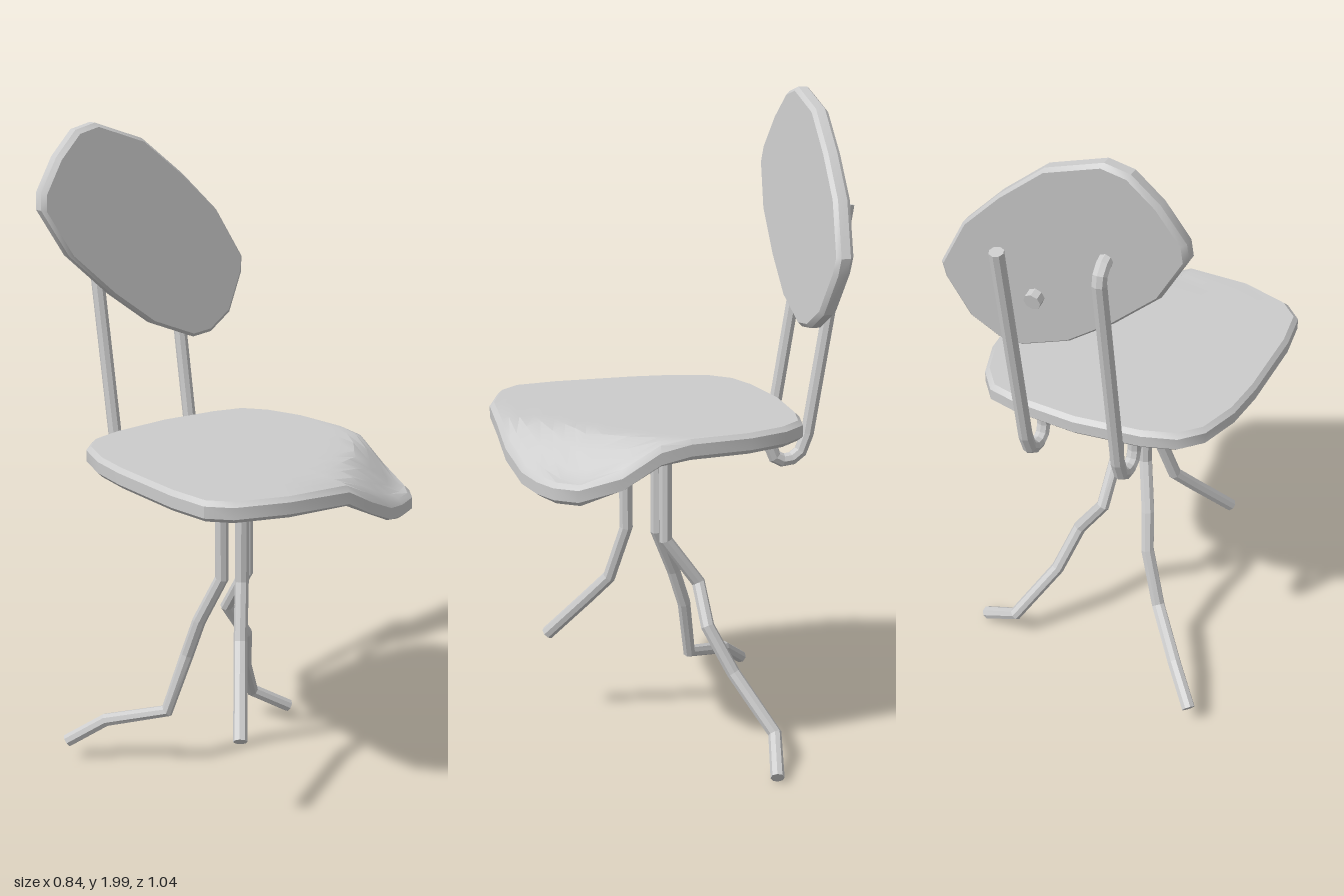
import * as THREE from 'three';
import { toCreasedNormals } from 'three/addons/utils/BufferGeometryUtils.js';

const material = new THREE.MeshStandardMaterial({ color: 0xcccccc });
const facetedMaterial = new THREE.MeshStandardMaterial({ color: 0xcccccc, flatShading: true });

// Straight segments between points, with mitred corners
class Polyline extends THREE.Curve {
  constructor(points) {
    super();
    this.points = points.map(p => new THREE.Vector3(...p));
  }
  getPoint(t) {
    const n = this.points.length - 1;
    const i = Math.min(Math.floor(t * n + 1e-6), n - 1);
    return this.points[i].clone().lerp(this.points[i + 1], t * n - i);
  }
  getPointAt(t) { return this.getPoint(t); }
  getTangentAt(t) {
    const p = this.points, i = Math.round(t * (p.length - 1));
    const dir = new THREE.Vector3();
    if (i > 0) dir.add(p[i].clone().sub(p[i - 1]).normalize());
    if (i < p.length - 1) dir.add(p[i + 1].clone().sub(p[i]).normalize());
    return dir.normalize();
  }
}

// Closed eight-sided rod
function rod(name, points, radius = 0.021) {
  const sides = 8, segments = points.length - 1;
  const geometry = new THREE.TubeGeometry(new Polyline(points), segments, radius, sides, false);
  const index = Array.from(geometry.index.array);
  const end = segments * (sides + 1);
  for (let j = 1; j < sides - 1; j++) {
    index.push(0, j, j + 1, end, end + j + 1, end + j);
  }
  geometry.setIndex(index);
  const mesh = new THREE.Mesh(geometry, facetedMaterial);
  mesh.name = name;
  return mesh;
}

// Thin plate: a counter-clockwise outline lofted through [scale, height] rings,
// with place(u, v, w) putting each point in space
function plate(name, outline, centre, rings, place) {
  const n = outline.length, positions = [], index = [];
  for (const [s, w] of rings) {
    for (const [u, v] of outline) {
      positions.push(...place(centre[0] + (u - centre[0]) * s, centre[1] + (v - centre[1]) * s, w));
    }
  }
  for (let i = 0; i < rings.length - 1; i++) {
    for (let j = 0; j < n; j++) {
      const k = (j + 1) % n;
      const a = i * n + j, b = i * n + k, c = a + n, d = b + n;
      if (rings[i + 1][0] > 0) index.push(a, c, d);
      if (rings[i][0] > 0) index.push(a, d, b);
    }
  }
  const geometry = new THREE.BufferGeometry();
  geometry.setAttribute('position', new THREE.Float32BufferAttribute(positions, 3));
  geometry.setIndex(index);
  const mesh = new THREE.Mesh(toCreasedNormals(geometry, 0.5), material);
  mesh.name = name;
  return mesh;
}

// Rings for a plate with bevelled edges, front to back
function plateRings(scales, half, bevel, inset) {
  const face = [...scales, inset];
  return [
    ...face.map(s => [s, half]),
    [1, half - bevel], [1, bevel - half],
    ...face.reverse().map(s => [s, -half]),
  ];
}

export function createModel() {
  const chair = new THREE.Group();
  chair.name = 'chair';

  // Seat, sagging at its front left corner
  const seatOutline = [
    [-0.42, 0.26], [-0.405, 0.39], [-0.35, 0.45], [-0.2, 0.505], [0, 0.52], [0.09, 0.515],
    [0.19, 0.49], [0.26, 0.462], [0.33, 0.43], [0.375, 0.37], [0.395, 0.25], [0.4, 0.14],
    [0.395, 0.05], [0.38, -0.13], [0.34, -0.25], [0.285, -0.32], [0.19, -0.345], [0, -0.36],
    [-0.2, -0.34], [-0.3, -0.31], [-0.36, -0.25], [-0.4, -0.13], [-0.415, 0],
  ];
  const sag = (x, z) => 0.112 * THREE.MathUtils.smoothstep(x + z - 0.1, 0.38, 0.63);
  chair.add(plate('seat', seatOutline, [0, 0.08],
    plateRings([0, 0.3, 0.45, 0.55, 0.65, 0.75, 0.85, 0.92], 0.03, 0.013, 0.97),
    (x, z, y) => [x, 1.05 + y - sag(x, z), z]));

  // Slanted oval backrest, leaning back
  const backOutline = [
    [-0.165, 2.0], [-0.235, 1.983], [-0.31, 1.91], [-0.375, 1.81], [-0.38, 1.76], [-0.3, 1.62],
    [-0.16, 1.49], [-0.02, 1.385], [0.13, 1.325], [0.2, 1.333], [0.28, 1.385], [0.34, 1.505],
    [0.347, 1.555], [0.26, 1.71], [0.14, 1.83], [0, 1.945],
  ];
  chair.add(plate('backrest', backOutline, [-0.015, 1.66],
    plateRings([0], 0.026, 0.012, 0.965),
    (x, y, z) => [x, y, z - 0.385 - 0.13 * (y - 1.33)]));

  // Back supports: hooked under the seat, one also hooked into the backrest
  const support = x => [
    [x, 1.03, -0.278], [x, 0.965, -0.278], [x, 0.935, -0.29], [x, 0.922, -0.315],
    [x, 0.925, -0.345], [x, 0.945, -0.372], [x, 1.0, -0.393], [x, 1.655, -0.499],
  ];
  chair.add(rod('leftBackSupport', [...support(0.135), [0.135, 1.68, -0.503]]));
  chair.add(rod('rightBackSupport', [
    ...support(-0.155), [-0.155, 1.68, -0.494], [-0.155, 1.7, -0.475], [-0.155, 1.715, -0.43],
  ]));
  chair.add(rod('backrestPeg', [[0.06, 1.53, -0.41], [0.06, 1.52, -0.462]], 0.025));

  // Three bent legs
  chair.add(rod('frontLeg', [
    [-0.06, 1.03, 0.12], [-0.06, 0.69, 0.118], [-0.1, 0.52, 0.163],
    [-0.145, 0.445, 0.22], [-0.235, 0.3, 0.333],
  ]));
  chair.add(rod('backRightLeg', [
    [-0.06, 1.03, 0.02], [-0.06, 0.67, 0.02], [-0.098, 0.52, -0.045], [-0.115, 0.4, -0.085],
    [-0.17, 0.21, -0.12], [-0.295, 0.155, -0.28], [-0.383, 0.075, -0.37],
  ]));
  chair.add(rod('backLeftLeg', [
    [0.035, 1.03, 0.02], [0.035, 0.67, 0.02], [0.04, 0.525, -0.083], [0.12, 0.41, -0.088],
    [0.17, 0.27, -0.155], [0.28, 0.105, -0.252], [0.408, 0.025, -0.215],
  ]));

  return chair;
}
